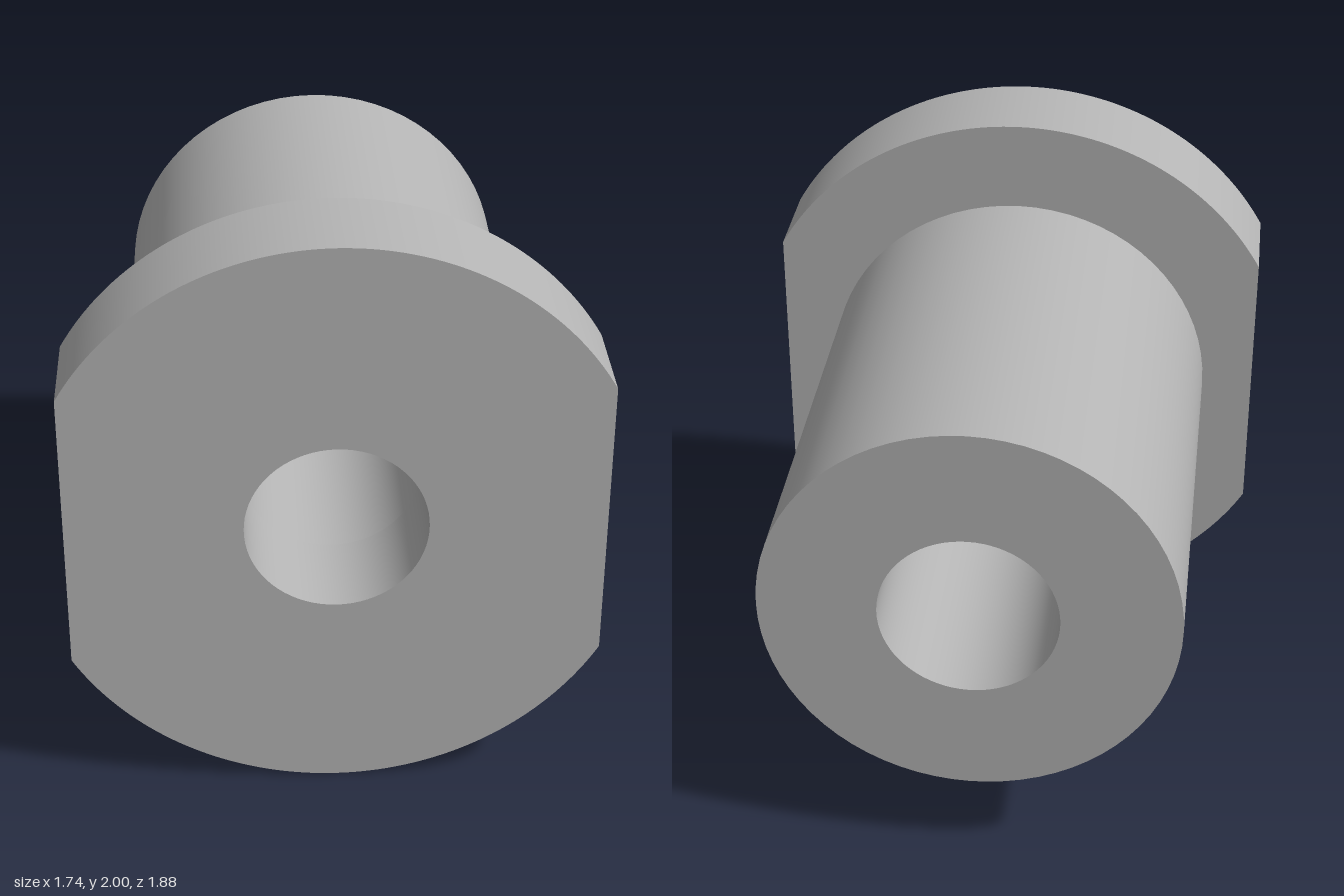
import * as THREE from 'three';
import { toCreasedNormals } from 'three/addons/utils/BufferGeometryUtils.js';

const FLANGE_R = 1, FLAT_X = 0.87, BODY_R = 0.69, BORE_R = 0.297;
const FRONT = 0.94, SHOULDER = 0.595, BACK = -0.94;
const CREASE = 0.3;

export function createModel() {
  const model = new THREE.Group();
  model.name = 'flangedBushing';
  const steel = new THREE.MeshStandardMaterial({ name: 'plain grey', color: 0xb4b4b4 });

  const add = (name, geometry) => {
    const mesh = new THREE.Mesh(toCreasedNormals(geometry, CREASE), steel);
    mesh.name = name;
    mesh.position.y = FLANGE_R;
    model.add(mesh);
  };

  // Flange: round plate with two flats and a central hole
  const a = Math.acos(FLAT_X / FLANGE_R);
  const outline = new THREE.Shape();
  outline.absarc(0, 0, FLANGE_R, a, Math.PI - a, false);
  outline.absarc(0, 0, FLANGE_R, Math.PI + a, 2 * Math.PI - a, false);
  outline.closePath();
  outline.holes.push(new THREE.Path().absarc(0, 0, BORE_R, 0, 2 * Math.PI, true));
  const flange = new THREE.ExtrudeGeometry(outline, {
    depth: FRONT - SHOULDER, bevelEnabled: false, curveSegments: 36,
  });
  flange.translate(0, 0, SHOULDER);
  add('flange', flange);

  // Sleeve: bore wall, back ring and outer wall, open where it meets the flange
  const profile = [
    [BORE_R, SHOULDER], [BORE_R, BACK], [BODY_R, BACK], [BODY_R, SHOULDER],
  ].map(([r, z]) => new THREE.Vector2(r, z));
  add('sleeve', new THREE.LatheGeometry(profile, 72).rotateX(Math.PI / 2));

  return model;
}
